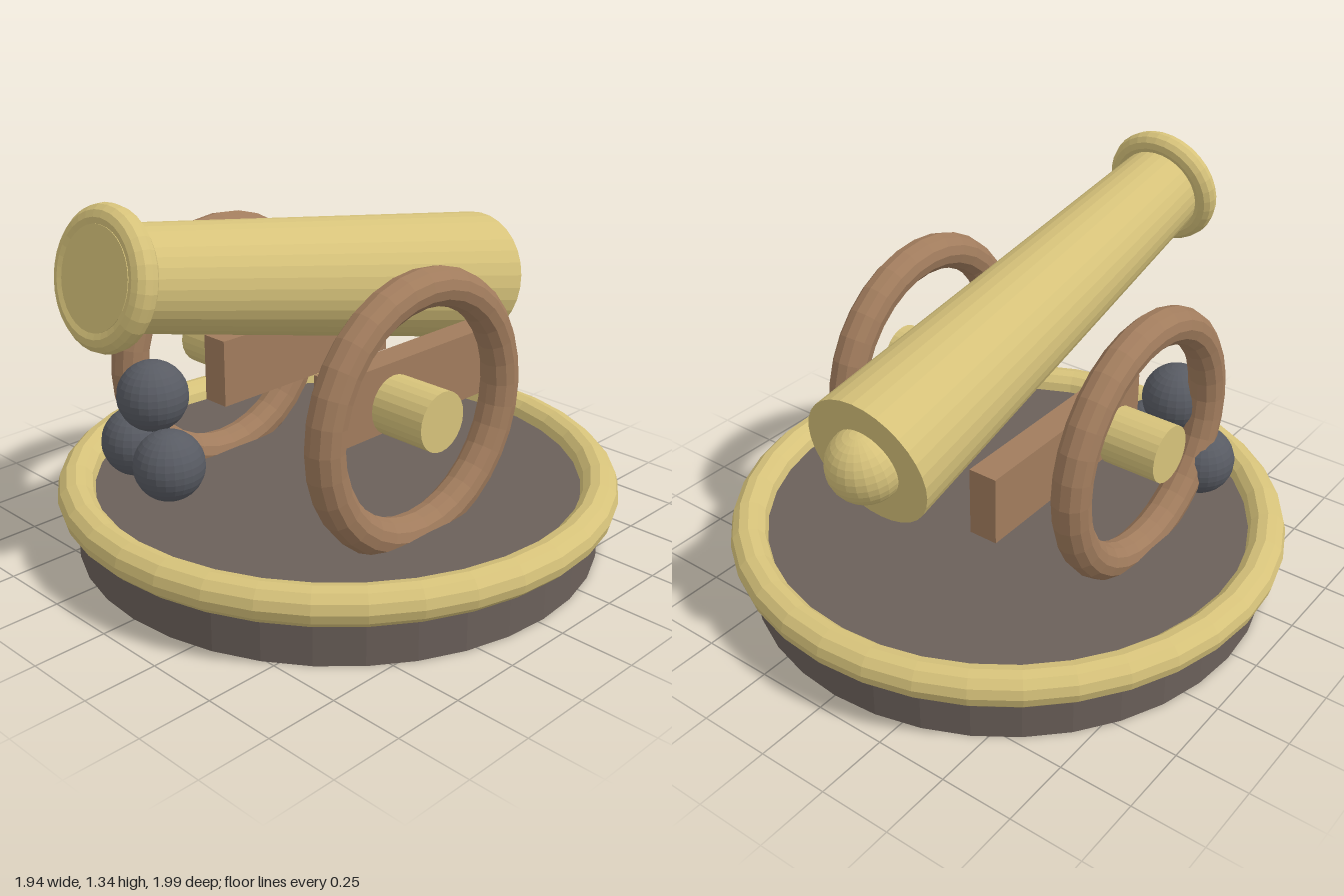
import * as THREE from 'three';

export function createModel() {
  const model = new THREE.Group();
  model.name = 'cannonOnBase';

  const material = (name, color) => {
    const m = new THREE.MeshStandardMaterial({ color, flatShading: true });
    m.name = name;
    return m;
  };
  const brass = material('brass', 0xd6c27a);
  const wood = material('wood', 0xa17c5d);
  const stone = material('stone', 0x6b605a);
  const iron = material('iron', 0x585b63);

  const add = (name, geometry, mat, x, y, z, parent = model) => {
    const mesh = new THREE.Mesh(geometry, mat);
    mesh.name = name;
    mesh.position.set(x, y, z);
    parent.add(mesh);
    return mesh;
  };

  // Round base with a brass rim
  const baseZ = -0.025;
  add('base', new THREE.CylinderGeometry(0.908, 0.908, 0.208, 36), stone, 0, 0.104, baseZ);
  add('baseRim', new THREE.TorusGeometry(0.907, 0.064, 12, 36).rotateX(Math.PI / 2), brass, 0, 0.208, baseZ);

  // Mirrored carriage: side rail, wheel and axle stub
  for (const [side, s] of [['left', 1], ['right', -1]]) {
    add(side + 'Rail', new THREE.BoxGeometry(0.1, 0.235, 0.8), wood, s * 0.265, 0.603, -0.1);
    add(side + 'Wheel', new THREE.TorusGeometry(0.41, 0.064, 12, 32).rotateY(Math.PI / 2), wood, s * 0.468, 0.605, 0.093);
    add(side + 'Axle', new THREE.CylinderGeometry(0.1, 0.1, 0.205, 24).rotateZ(Math.PI / 2), brass, s * 0.468, 0.605, 0.093);
  }

  // Barrel built along +z from its breech, then tilted upward
  const cannon = new THREE.Group();
  cannon.name = 'cannon';
  cannon.position.set(0, 0.778, -0.722);
  cannon.rotation.x = -0.21;
  model.add(cannon);
  const length = 1.715;
  add('barrel', new THREE.CylinderGeometry(0.155, 0.232, length, 32).rotateX(Math.PI / 2), brass, 0, 0, length / 2, cannon);
  add('muzzleRing', new THREE.TorusGeometry(0.174, 0.043, 12, 32), brass, 0, 0, length - 0.04, cannon);
  add('breechKnob', new THREE.SphereGeometry(0.124, 24, 16), brass, 0, 0, -0.008, cannon);

  // Pile of cannonballs
  const balls = [[-0.472, 0.34, 0.488], [-0.235, 0.34, 0.535], [-0.35, 0.548, 0.503]];
  balls.forEach(([x, y, z], i) =>
    add('cannonball' + (i + 1), new THREE.SphereGeometry(0.122, 24, 16), iron, x, y, z));

  return model;
}
